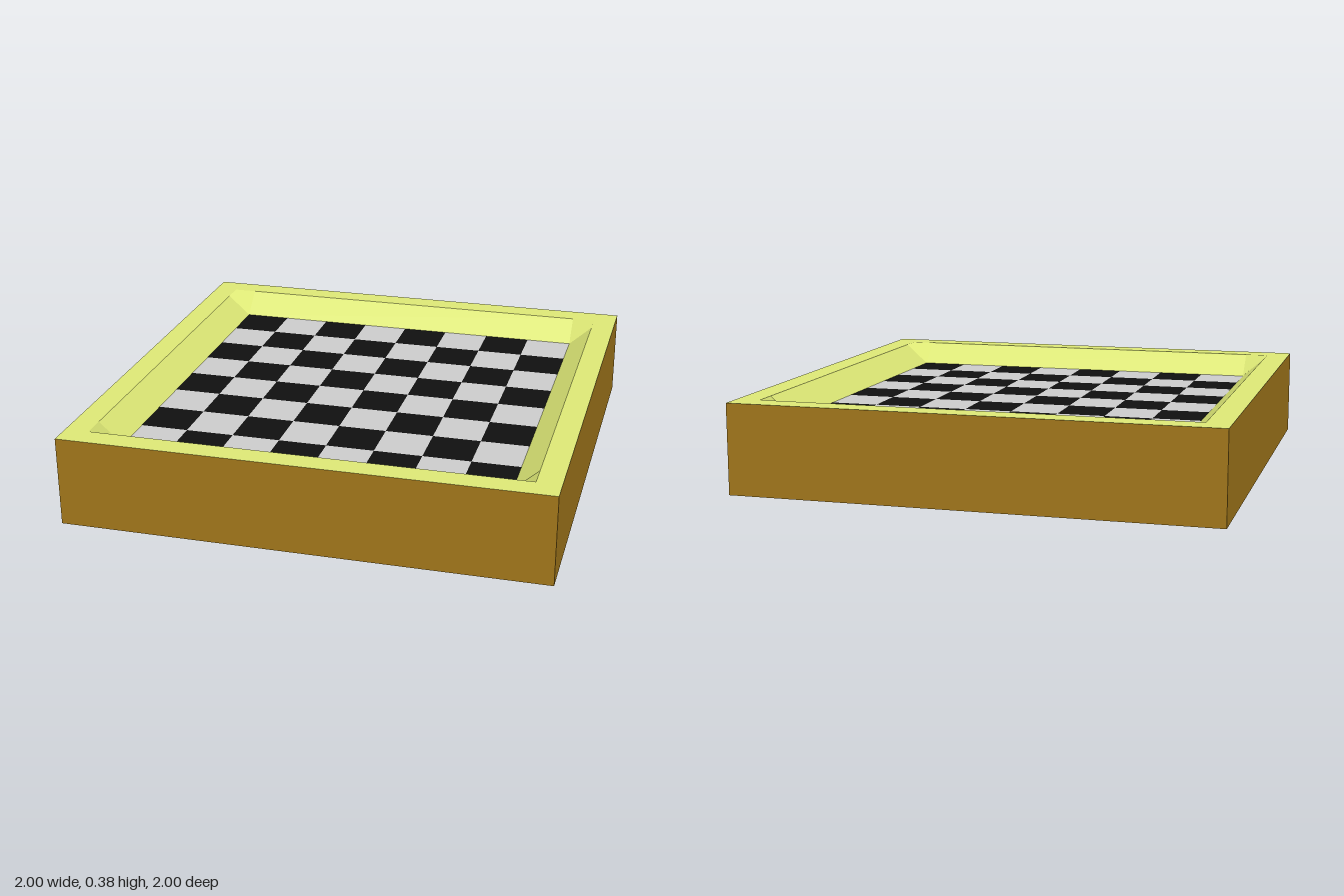
import * as THREE from 'three';

const HEIGHT = 0.375, DEPTH = 0.09, RIM = 0.9, BOARD = 0.8, N = 8;

const lime = new THREE.MeshStandardMaterial({ color: 0xdce775 });
const brown = new THREE.MeshStandardMaterial({ color: 0xa0761a });
const black = new THREE.MeshStandardMaterial({ color: 0x101010 });
const grey = new THREE.MeshStandardMaterial({ color: 0xcccccc });

// One four-cornered face, corners counter-clockwise, shaded with a single normal
function quad(name, material, a, b, c, d) {
  const [pa, pb, pc, pd] = [a, b, c, d].map((p) => new THREE.Vector3(...p));
  const normal = pc.clone().sub(pa).cross(pd.clone().sub(pb)).normalize();
  const geometry = new THREE.BufferGeometry();
  geometry.setAttribute('position', new THREE.Float32BufferAttribute([...a, ...b, ...c, ...d], 3));
  geometry.setAttribute('normal', new THREE.Float32BufferAttribute([0, 1, 2, 3].flatMap(() => normal.toArray()), 3));
  geometry.setIndex([0, 1, 2, 0, 2, 3]);
  const mesh = new THREE.Mesh(geometry, material);
  mesh.name = name;
  return mesh;
}

// Flat square facing up
function tile(name, material, size, x, y, z) {
  const mesh = new THREE.Mesh(new THREE.PlaneGeometry(size, size).rotateX(-Math.PI / 2), material);
  mesh.position.set(x, y, z);
  mesh.name = name;
  return mesh;
}

// Flat rim with a sloping recess, facing up, rim at y = 0
function recessedFace(name, material) {
  const group = new THREE.Group();
  group.name = name;
  const square = (path, s) => path.moveTo(-s, -s).lineTo(s, -s).lineTo(s, s).lineTo(-s, s).closePath();
  const shape = square(new THREE.Shape(), 1);
  shape.holes.push(square(new THREE.Path(), RIM));
  const rim = new THREE.Mesh(new THREE.ShapeGeometry(shape).rotateX(-Math.PI / 2), material);
  rim.name = 'rim';
  group.add(rim);
  for (let k = 0; k < 4; k++) {
    const side = new THREE.Group();
    side.name = 'recessSide';
    side.rotation.y = k * Math.PI / 2;
    side.add(
      quad('slope', material, [-BOARD, 0, RIM], [BOARD, 0, RIM], [BOARD, -DEPTH, BOARD], [-BOARD, -DEPTH, BOARD]),
      quad('corner', material, [BOARD, -DEPTH, BOARD], [BOARD, 0, RIM], [RIM, 0, RIM], [RIM, 0, BOARD])
    );
    group.add(side);
  }
  return group;
}

export function createModel() {
  const model = new THREE.Group();
  model.name = 'checkeredBoard';

  // Outer walls
  for (let k = 0; k < 4; k++) {
    const wall = quad('wall', brown, [-1, 0, 1], [1, 0, 1], [1, HEIGHT, 1], [-1, HEIGHT, 1]);
    wall.rotation.y = k * Math.PI / 2;
    model.add(wall);
  }

  // Top frame
  const top = recessedFace('topFrame', lime);
  top.position.y = HEIGHT;
  model.add(top);

  // Underside, the same recess turned over
  const bottom = recessedFace('underside', brown);
  bottom.add(tile('undersideFloor', brown, 2 * BOARD, 0, -DEPTH, 0));
  bottom.rotation.x = Math.PI;
  model.add(bottom);

  // Checkered playing surface
  const squares = new THREE.Group();
  squares.name = 'squares';
  const size = 2 * BOARD / N;
  for (let i = 0; i < N; i++) {
    for (let j = 0; j < N; j++) {
      const dark = (i + j) % 2 === 0;
      squares.add(tile(dark ? 'darkSquare' : 'lightSquare', dark ? black : grey, size,
        -BOARD + (i + 0.5) * size, HEIGHT - DEPTH, -BOARD + (j + 0.5) * size));
    }
  }
  model.add(squares);
  return model;
}
